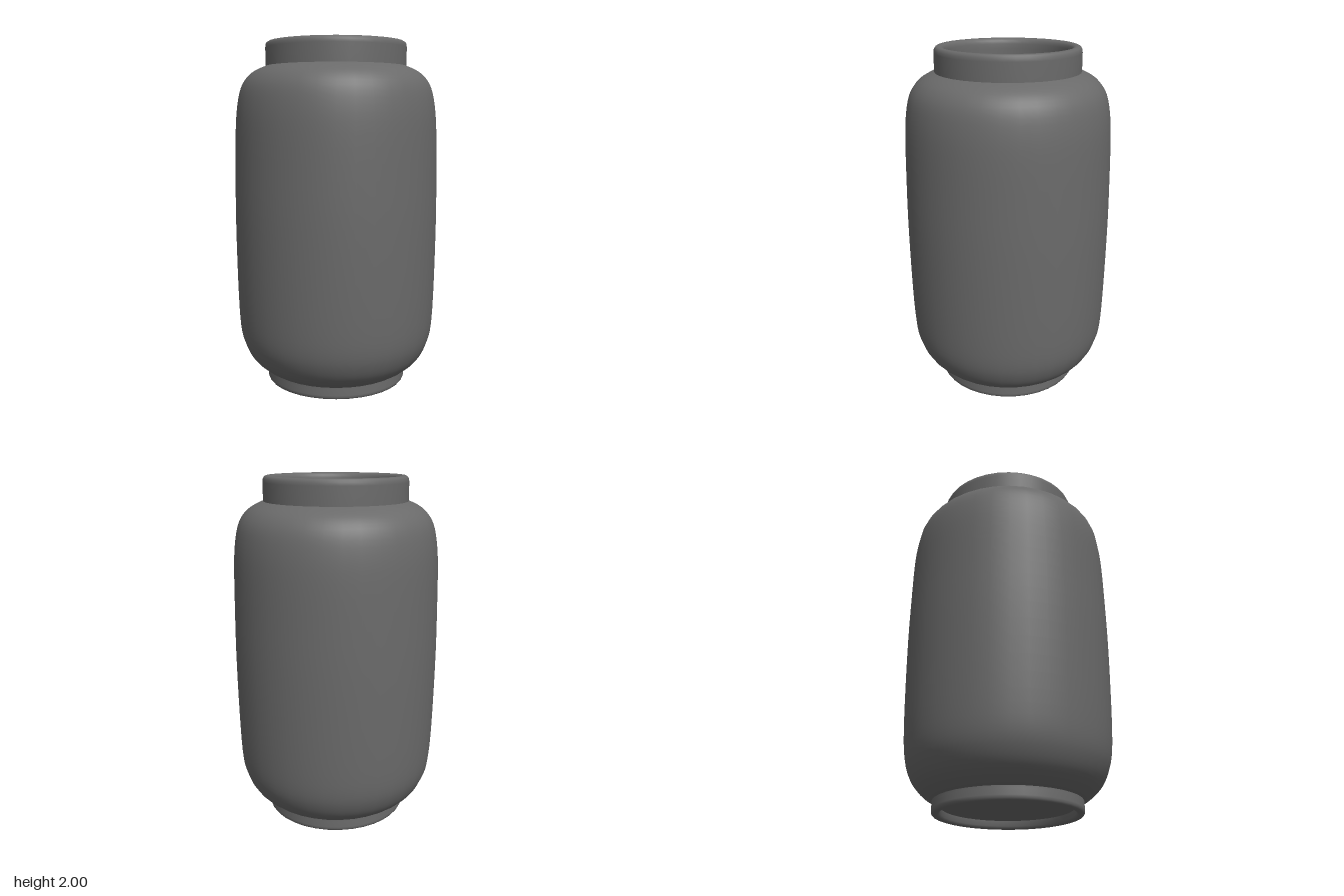
import * as THREE from 'three';

const SEGMENTS = 36;
const v = (r, y) => new THREE.Vector2(r, y);

// Smooth curve through a few profile points
function smooth(points, divisions) {
  return new THREE.SplineCurve(points.map(([r, y]) => v(r, y))).getPoints(divisions);
}

export function createModel() {
  const model = new THREE.Group();
  model.name = 'jar';
  const ceramic = new THREE.MeshStandardMaterial({ color: 0x6a6a6a });
  ceramic.name = 'dark grey ceramic';

  // Adds one turned surface; profiles run so that faces point out of the wall
  function turned(name, points) {
    const mesh = new THREE.Mesh(new THREE.LatheGeometry(points, SEGMENTS), ceramic);
    mesh.name = name;
    model.add(mesh);
  }

  // Domed underside, recessed within the foot ring
  turned('underside', smooth([[0, 0.1], [0.1, 0.093], [0.2, 0.07], [0.29, 0.05], [0.365, 0.045]], 14));

  // Foot ring with rounded edges
  turned('footRing', [
    [0.365, 0.045], [0.368, 0.015], [0.376, 0.003], [0.385, 0], [0.398, 0], [0.408, 0.003],
    [0.414, 0.012], [0.415, 0.025], [0.413, 0.06], [0.413, 0.074],
  ].map(([r, y]) => v(r, y)));

  // Outer body with rounded base and shoulder
  turned('body', smooth([
    [0.413, 0.072], [0.46, 0.102], [0.51, 0.15], [0.547, 0.215], [0.572, 0.3], [0.584, 0.44],
    [0.591, 0.7], [0.594, 1], [0.591, 1.25], [0.585, 1.5], [0.573, 1.64], [0.55, 1.74],
    [0.51, 1.803], [0.46, 1.84], [0.409, 1.862],
  ], 42));

  // Neck and rolled lip
  turned('neck', [
    [0.409, 1.86], [0.409, 1.965], [0.407, 1.982], [0.401, 1.994], [0.391, 2], [0.374, 2],
    [0.362, 1.995], [0.354, 1.985], [0.35, 1.968], [0.349, 1.94], [0.349, 1.83],
  ].map(([r, y]) => v(r, y)));

  // Hollow inside with a raised centre on the floor
  turned('interior', smooth([
    [0.349, 1.83], [0.42, 1.795], [0.48, 1.74], [0.515, 1.64], [0.527, 1.45], [0.534, 1],
    [0.527, 0.5], [0.51, 0.31], [0.47, 0.2], [0.4, 0.135], [0.3, 0.113], [0.2, 0.13],
    [0.1, 0.153], [0, 0.16],
  ], 42));

  return model;
}
